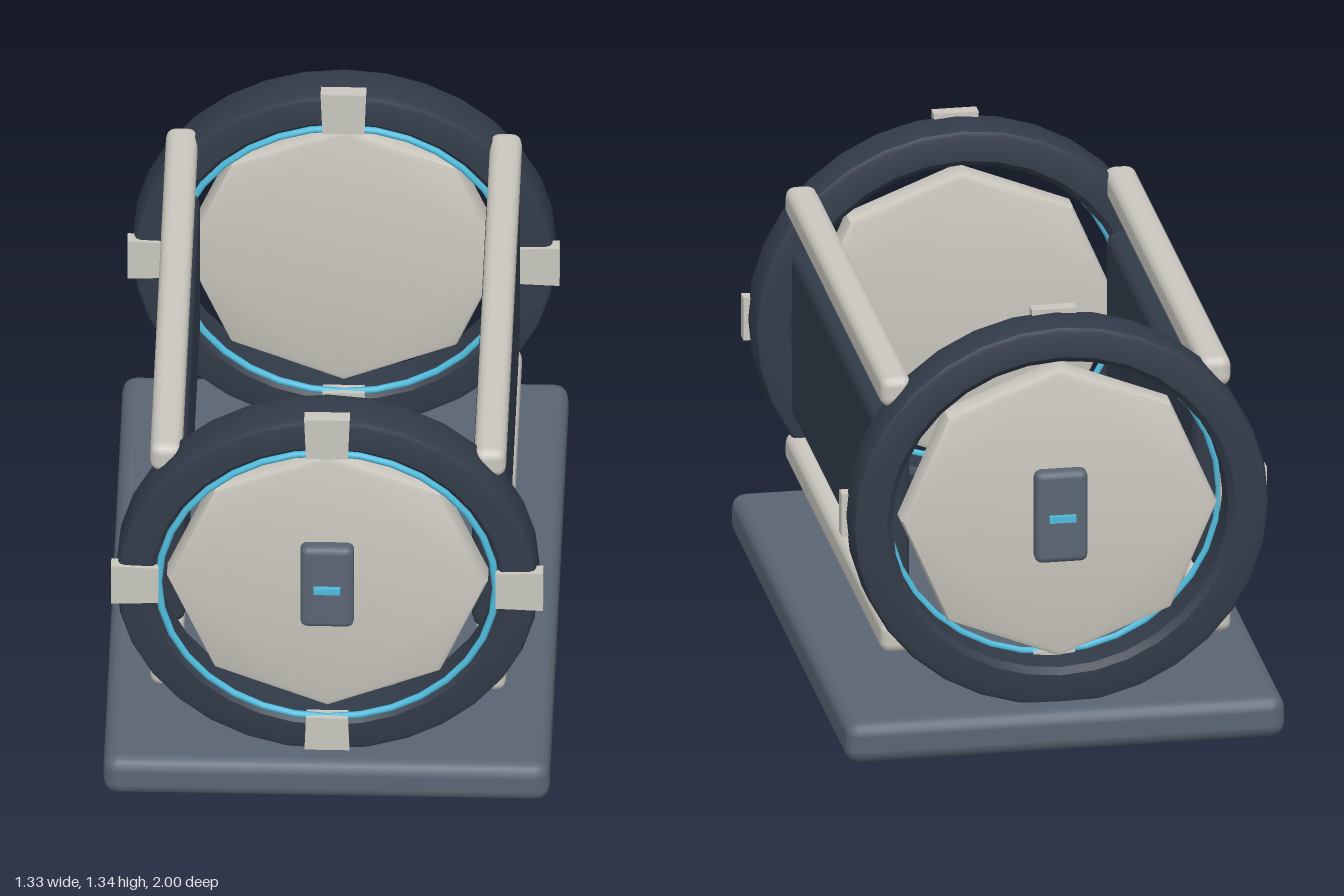
import * as THREE from 'three';
import { RoundedBoxGeometry } from 'three/addons/geometries/RoundedBoxGeometry.js';
import { toCreasedNormals } from 'three/addons/utils/BufferGeometryUtils.js';

const NAVY = 0x323b49, SLATE = 0x5a6573, CREAM = 0xc9c7be, BLUE = 0x4fbbdc;
const CY = 0.72;        // height of the drum axis
const SQUASH = 0.96;    // the drum is slightly flattened

const material = (color) => new THREE.MeshStandardMaterial({ color });
const mats = { navy: material(NAVY), slate: material(SLATE), cream: material(CREAM), blue: material(BLUE) };

function add(parent, name, geometry, mat, x = 0, y = 0, z = 0) {
  const mesh = new THREE.Mesh(geometry, mat);
  mesh.name = name;
  mesh.position.set(x, y, z);
  parent.add(mesh);
  return mesh;
}

const softBox = (w, h, d, r) => new RoundedBoxGeometry(w, h, d, 2, r);

// Bevelled ring of rectangular section, axis along z
function ringGeometry() {
  const ri = 0.508, ro = 0.63, h = 0.076, b = 0.02;
  const profile = [
    [ri + b, -h], [ro - b, -h], [ro - 0.006, -h + 0.006], [ro, -h + b],
    [ro, h - b], [ro - 0.006, h - 0.006], [ro - b, h], [ri + b, h],
    [ri, h - b], [ri, -h + b], [ri + b, -h],
  ].map(([r, y]) => new THREE.Vector2(r, y));
  const g = new THREE.LatheGeometry(profile, 32).rotateX(Math.PI / 2).scale(1, SQUASH, 1);
  return toCreasedNormals(g, 0.7);
}

// Clamp slightly wider at its outer end, pointing up
function clampGeometry() {
  const g = new THREE.BoxGeometry(0.136, 0.142, 0.043);
  const p = g.attributes.position;
  for (let i = 0; i < p.count; i++) if (p.getY(i) < 0) p.setX(i, p.getX(i) * 0.92);
  g.computeVertexNormals();
  return g;
}

// Eight-sided end plate with bevelled rim
function plateGeometry() {
  const shape = new THREE.Shape();
  for (let i = 0; i < 8; i++) {
    const a = (i * Math.PI) / 4;
    shape[i ? 'lineTo' : 'moveTo'](0.457 * Math.cos(a), 0.457 * Math.sin(a));
  }
  shape.closePath();
  const g = new THREE.ExtrudeGeometry(shape, {
    depth: 0.06, bevelEnabled: true, bevelSize: 0.02, bevelThickness: 0.02, bevelSegments: 2,
  });
  g.translate(0, 0, -0.03).scale(1, SQUASH, 1);
  return toCreasedNormals(g, 0.6);
}

// Ring with its light strip and four clamps on the front side
function ringAssembly(name, z) {
  const group = new THREE.Group();
  group.name = name;
  group.position.set(0, CY, z);
  add(group, 'ring', ringGeometry(), mats.navy);
  const strip = new THREE.TorusGeometry(0.503, 0.011, 8, 32).scale(1, SQUASH, 1);
  add(group, 'lightStrip', strip, mats.blue, 0, 0, 0.066);
  for (let i = 0; i < 4; i++) {
    const a = (i * Math.PI) / 2;
    const r = i % 2 ? 0.573 : 0.545;
    const clamp = add(group, 'clamp', clampGeometry(), mats.cream, -Math.sin(a) * r, Math.cos(a) * r, 0.066);
    clamp.rotation.z = a;
  }
  return group;
}

// End plate with a handle block and indicator, facing +z
function endPlate(name) {
  const group = new THREE.Group();
  group.name = name;
  add(group, 'plate', plateGeometry(), mats.cream, 0, CY, 0.835);
  add(group, 'handle', softBox(0.16, 0.29, 0.065, 0.022), mats.slate, 0, CY, 0.893);
  add(group, 'indicator', new THREE.BoxGeometry(0.08, 0.021, 0.03), mats.blue, 0, CY, 0.925);
  return group;
}

export function createModel() {
  const model = new THREE.Group();
  model.name = 'drumChamber';

  add(model, 'base', softBox(1.33, 0.13, 2, 0.042), mats.slate, 0, 0.065, 0);

  model.add(ringAssembly('frontRing', 0.834), ringAssembly('backRing', -0.834));

  const backPlate = endPlate('backPlate');
  backPlate.rotation.y = Math.PI;
  model.add(endPlate('frontPlate'), backPlate);

  // Side panels and long rods, mirrored left and right
  for (const s of [1, -1]) {
    add(model, 'sidePanel', softBox(0.1, 0.53, 1.5, 0.035), mats.navy, s * 0.477, CY, 0);
    for (const y of [1.113, 0.33]) {
      add(model, 'rod', softBox(0.095, 0.095, 1.66, 0.03), mats.cream, s * 0.483, y, 0);
    }
  }
  return model;
}
